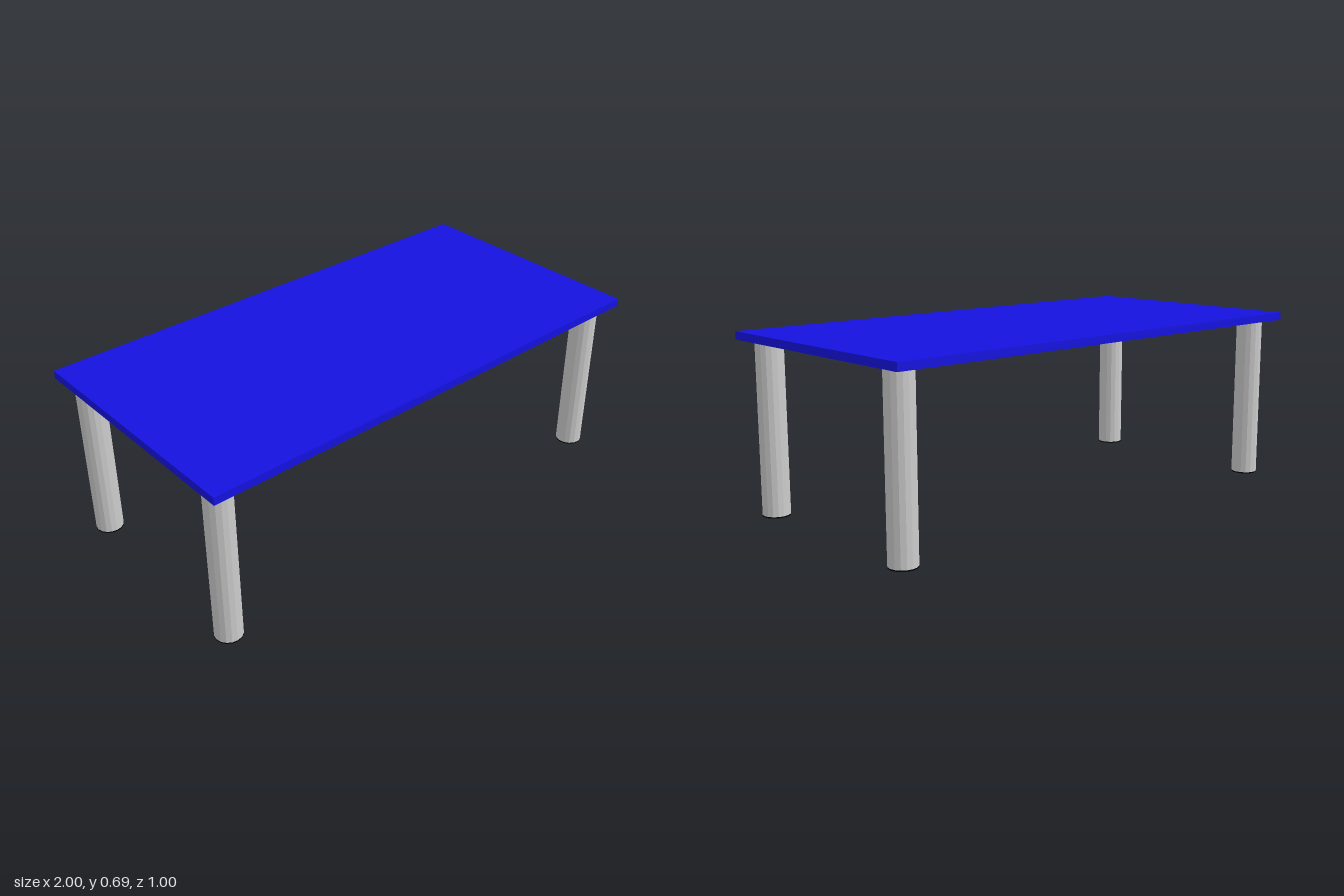
import * as THREE from 'three';

const TOP_Y = 0.695, TOP_THICK = 0.031;
const LEG_RADIUS = 0.053, PAD = 0.005;

export function createModel() {
  const model = new THREE.Group();
  model.name = 'table';

  const blue = new THREE.MeshStandardMaterial({ color: 0x1512e0 });
  const grey = new THREE.MeshStandardMaterial({ color: 0xcccccc, flatShading: true });
  const black = new THREE.MeshStandardMaterial({ color: 0x000000 });

  const add = (parent, name, geometry, material, y) => {
    const mesh = new THREE.Mesh(geometry, material);
    mesh.name = name;
    mesh.position.y = y;
    parent.add(mesh);
  };

  // Flat rectangular top
  add(model, 'tableTop', new THREE.BoxGeometry(2, TOP_THICK, 1), blue, TOP_Y - TOP_THICK / 2);

  // Four round legs, each on a thin black foot pad
  const legHeight = TOP_Y - TOP_THICK - PAD;
  const legGeometry = new THREE.CylinderGeometry(LEG_RADIUS, LEG_RADIUS, legHeight, 16);
  const padGeometry = new THREE.CylinderGeometry(LEG_RADIUS, LEG_RADIUS, PAD, 16);
  for (const sx of [-1, 1]) {
    for (const sz of [-1, 1]) {
      const leg = new THREE.Group();
      leg.name = (sz > 0 ? 'front' : 'back') + (sx > 0 ? 'Left' : 'Right') + 'Leg';
      leg.position.set(sx * 0.92, 0, sz * 0.399);
      add(leg, 'legPost', legGeometry, grey, PAD + legHeight / 2);
      add(leg, 'footPad', padGeometry, black, PAD / 2);
      model.add(leg);
    }
  }
  return model;
}
